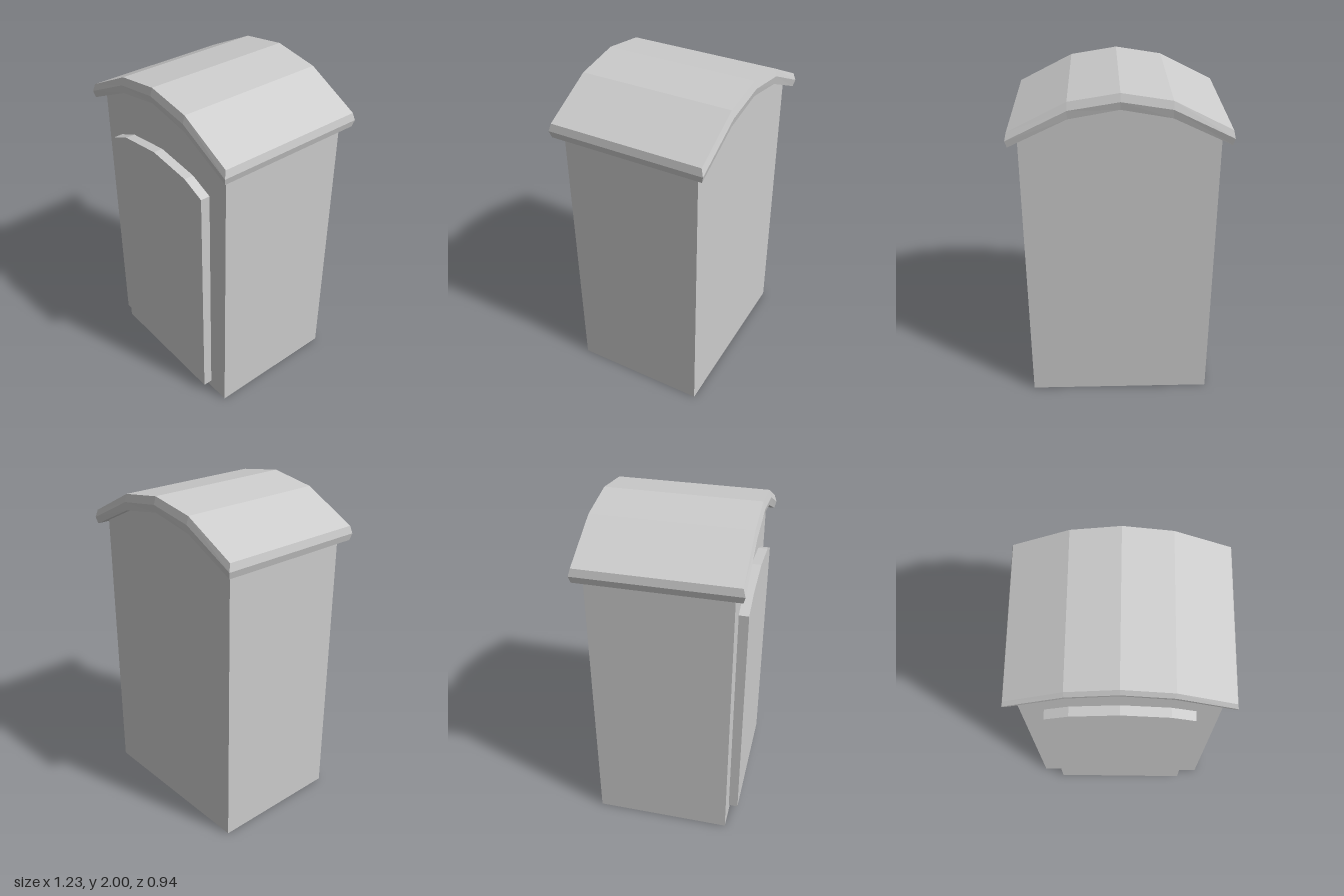
import * as THREE from 'three';

const grey = () => new THREE.MeshStandardMaterial({ color: 0xcccccc, flatShading: true, side: THREE.DoubleSide });

function addMesh(group, name, geometry) {
  const mesh = new THREE.Mesh(geometry, grey());
  mesh.name = name;
  group.add(mesh);
  return mesh;
}

// Outline with straight sides and a faceted arched top, given its right half
function archShape(bottom, half) {
  const right = half.map(([x, y]) => new THREE.Vector2(x, y));
  const left = half.slice(0, -1).reverse().map(([x, y]) => new THREE.Vector2(-x, y));
  return new THREE.Shape([
    new THREE.Vector2(-half[0][0], bottom),
    new THREE.Vector2(half[0][0], bottom),
    ...right, ...left,
  ]);
}

// Collects quads (corners anticlockwise from outside) into a flat-faced geometry
function quadGeometry(quads) {
  const points = quads.flatMap(([a, b, c, d]) => [a, b, c, a, c, d]);
  const geometry = new THREE.BufferGeometry();
  geometry.setAttribute('position', new THREE.Float32BufferAttribute(points.flat(), 3));
  geometry.computeVertexNormals();
  return geometry;
}

// Arched slab whose rim is bevelled to a blunt point all round
function roofGeometry() {
  // x, x at the rim's middle, heights of top, middle and bottom
  const half = [
    [0, 0, 2, 1.955, 1.91],
    [0.28, 0.28, 1.955, 1.91, 1.86],
    [0.605, 0.615, 1.79, 1.745, 1.705],
  ];
  const stations = [
    ...half.slice(1).reverse().map(([x, m, ...ys]) => [-x, -m, ...ys]),
    ...half,
  ];
  const rings = stations.map(([x, m, top, mid, low]) => [
    [x, top, -0.457], [x, top, 0.457], [m, mid, 0.47],
    [x, low, 0.46], [x, low, -0.46], [m, mid, -0.47],
  ]);
  const quads = [];
  for (let s = 0; s < rings.length - 1; s++) {
    for (let i = 0; i < 6; i++) {
      const j = (i + 1) % 6;
      quads.push([rings[s][i], rings[s][j], rings[s + 1][j], rings[s + 1][i]]);
    }
  }
  // Bevelled eaves at both ends
  for (const [a, b, c, d] of [[0, 1, 2, 5], [5, 2, 3, 4]]) {
    const first = rings[0], last = rings[rings.length - 1];
    quads.push([last[a], last[b], last[c], last[d]]);
    quads.push([first[d], first[c], first[b], first[a]]);
  }
  return quadGeometry(quads);
}

export function createModel() {
  const model = new THREE.Group();
  model.name = 'outhouse';
  const halfWidth = 0.555, halfDepth = 0.413, eaves = 1.73;

  // Thin walls, open underneath
  const walls = new THREE.Group();
  walls.name = 'walls';
  model.add(walls);
  const gable = archShape(0, [[halfWidth, eaves], [0.28, 1.865], [0, 1.912]]);
  for (const [name, side] of [['frontWall', 1], ['backWall', -1]]) {
    const wall = addMesh(walls, name, new THREE.ShapeGeometry(gable));
    wall.position.z = side * halfDepth;
    if (side < 0) wall.rotation.y = Math.PI;
  }
  for (const [name, side] of [['leftWall', 1], ['rightWall', -1]]) {
    const wall = addMesh(walls, name, new THREE.PlaneGeometry(2 * halfDepth, eaves));
    wall.position.set(side * halfWidth, eaves / 2, 0);
    wall.rotation.y = side * Math.PI / 2;
  }

  // Door block, reaching through the front wall into the inside
  const doorShape = archShape(0.05, [[0.42, 1.515], [0.28, 1.575], [0, 1.61]]);
  const door = addMesh(model, 'door',
    new THREE.ExtrudeGeometry(doorShape, { depth: 0.525, bevelEnabled: false }));
  door.position.z = -0.055;

  addMesh(model, 'roof', roofGeometry());
  return model;
}
